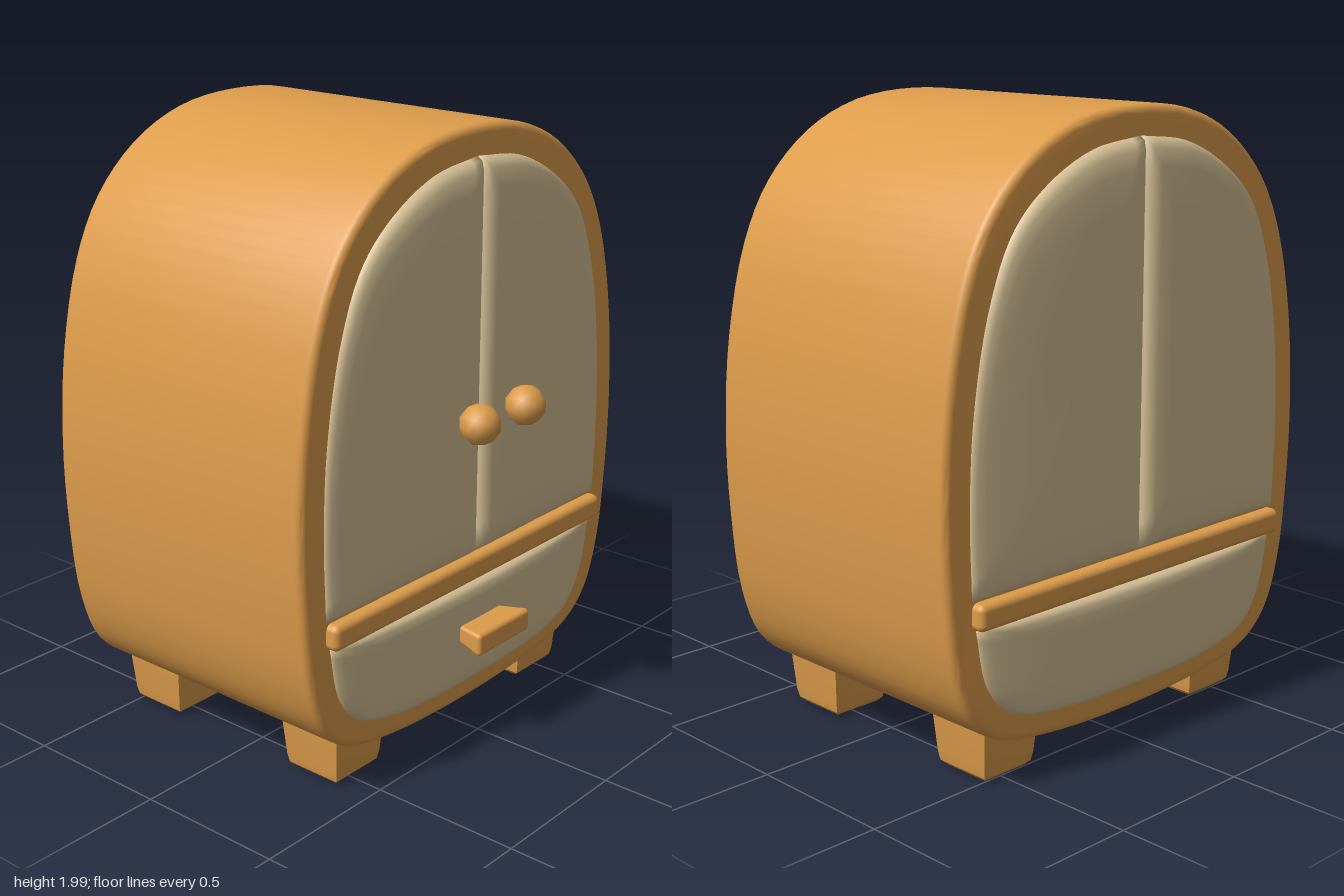
import * as THREE from 'three';
import { mergeVertices, toCreasedNormals } from 'three/addons/utils/BufferGeometryUtils.js';
import { RoundedBoxGeometry } from 'three/addons/geometries/RoundedBoxGeometry.js';

const wood = new THREE.MeshStandardMaterial({ color: 0xdd9c4b });
wood.name = 'orange wood';
const cream = new THREE.MeshStandardMaterial({ color: 0xd6c095 });
cream.name = 'cream panel';

const FRONT = 0.45, BACK = -0.58;

function add(parent, name, geometry, material, x = 0, y = 0, z = 0) {
  const mesh = new THREE.Mesh(geometry, material);
  mesh.name = name;
  mesh.position.set(x, y, z);
  parent.add(mesh);
  return mesh;
}

// Smooth curve through 2D points
function spline(points, count, closed = false) {
  const curve = new THREE.CatmullRomCurve3(points.map(([x, y]) => new THREE.Vector3(x, y, 0)), closed);
  return curve.getPoints(count).map((p) => [p.x, p.y]);
}

// Evenly spaced points on a straight edge, without its ends
function edge([x0, y0], [x1, y1], count) {
  return Array.from({ length: count - 1 }, (_, i) => {
    const t = (i + 1) / count;
    return [x0 + (x1 - x0) * t, y0 + (y1 - y0) * t];
  });
}

const mirror = (points) => points.map(([x, y]) => [-x, y]).reverse();

// Cushion-like panel: rings shrink to the centre while rising; outline is counter-clockwise
function pillow(outline, cx, cy) {
  const rings = [[1, -0.01], [1, 0.05], [0.985, 0.45], [0.95, 0.75], [0.87, 0.92], [0.7, 1], [0.4, 1], [0, 1]];
  const n = outline.length, pos = [], index = [];
  rings.forEach(([s, rise], k) => {
    outline.forEach(([px, py], i) => {
      const x = cx + (px - cx) * s, y = cy + (py - cy) * s;
      const dome = 0.016 + 0.036 * (1 - (x / 0.7) ** 2);
      pos.push(x, y, k === 0 ? rise : rise * dome);
      if (k === 0) return;
      const a = (k - 1) * n + i, b = (k - 1) * n + (i + 1) % n;
      index.push(a, b, b + n, a, b + n, a + n);
    });
  });
  const g = new THREE.BufferGeometry();
  g.setAttribute('position', new THREE.Float32BufferAttribute(pos, 3));
  g.setIndex(index);
  g.computeVertexNormals();
  return g;
}

// Rounded cabinet shell
function bodyGeometry() {
  const half = [[0.24, 1.975], [0.44, 1.89], [0.6, 1.745], [0.7, 1.56], [0.77, 1.28], [0.797, 0.98],
    [0.79, 0.7], [0.757, 0.43], [0.69, 0.26], [0.58, 0.17], [0.38, 0.125]];
  const ring = spline([[0, 2], ...half, [0, 0.105], ...mirror(half)], 96, true).slice(0, -1);
  const shape = new THREE.Shape(ring.map(([x, y]) => new THREE.Vector2(x, y)));
  const bevel = 0.025;
  let g = new THREE.ExtrudeGeometry(shape, {
    depth: FRONT - BACK - 2 * bevel, bevelThickness: bevel, bevelSize: bevel, bevelOffset: -bevel, bevelSegments: 4,
  });
  g.deleteAttribute('uv');
  g.deleteAttribute('normal');
  g = mergeVertices(g, 1e-4);
  g.translate(0, 0, BACK + bevel);
  return toCreasedNormals(g, 0.6);
}

// Two doors, a rail and a drawer front, facing +z
function facade(name) {
  const group = new THREE.Group();
  group.name = name;
  const inner = 0.004;
  const arch = spline([[0.69, 0.632], [0.697, 0.9], [0.68, 1.18], [0.62, 1.47], [0.53, 1.67],
    [0.4, 1.79], [0.21, 1.88], [inner, 1.908]], 36);
  const door = [...arch, ...edge([inner, 1.908], [inner, 0.632], 16), [inner, 0.632],
    ...edge([inner, 0.632], [0.69, 0.632], 10)];
  add(group, 'leftDoor', pillow(door, 0.33, 1.2), cream);
  add(group, 'rightDoor', pillow(mirror(door), -0.33, 1.2), cream);

  const side = [[0.4, 0.212], [0.55, 0.255], [0.635, 0.36], [0.675, 0.54]];
  const bowl = spline([...mirror(side), [0, 0.197], ...side], 44);
  add(group, 'drawerFront', pillow([...bowl, ...edge([0.675, 0.54], [-0.675, 0.54], 16)], 0, 0.39), cream);

  add(group, 'rail', new RoundedBoxGeometry(1.38, 0.084, 0.08, 3, 0.022), wood, 0, 0.584, 0.001);
  return group;
}

// Square tapered foot with softened lower edge
function footGeometry() {
  const profile = [[0, 0.008], [0.118, 0.008], [0.138, 0.022], [0.146, 0.05], [0.168, 0.24], [0, 0.24]];
  const g = new THREE.LatheGeometry(profile.map(([r, y]) => new THREE.Vector2(r, y)), 4, Math.PI / 4);
  g.deleteAttribute('uv');
  return toCreasedNormals(g, 0.5);
}

export function createModel() {
  const model = new THREE.Group();
  model.name = 'wardrobe';

  add(model, 'body', bodyGeometry(), wood);

  const front = facade('frontPanels');
  front.position.z = FRONT;
  const back = facade('backPanels');
  back.position.z = BACK;
  back.rotation.y = Math.PI;
  model.add(front, back);

  // Faceted knobs and feet on both sides
  const knob = new THREE.IcosahedronGeometry(0.066, 1);
  const foot = footGeometry();
  for (const s of [1, -1]) {
    const sideName = s > 0 ? 'left' : 'right';
    add(model, sideName + 'Knob', knob, wood, s * 0.117, 1.122, 0.568);
    add(model, sideName + 'FrontFoot', foot, wood, s * 0.475, 0, 0.285);
    add(model, sideName + 'BackFoot', foot, wood, s * 0.475, 0, -0.41);
  }

  // Drawer handle, narrowing towards the drawer
  const handle = new RoundedBoxGeometry(0.268, 0.076, 0.11, 2, 0.014);
  const p = handle.attributes.position;
  for (let i = 0; i < p.count; i++) {
    const k = p.getZ(i) < 0 ? 0.8 : 1;
    p.setXY(i, p.getX(i) * k, p.getY(i) * k);
  }
  add(model, 'drawerHandle', handle, wood, 0, 0.39, 0.544);

  return model;
}
